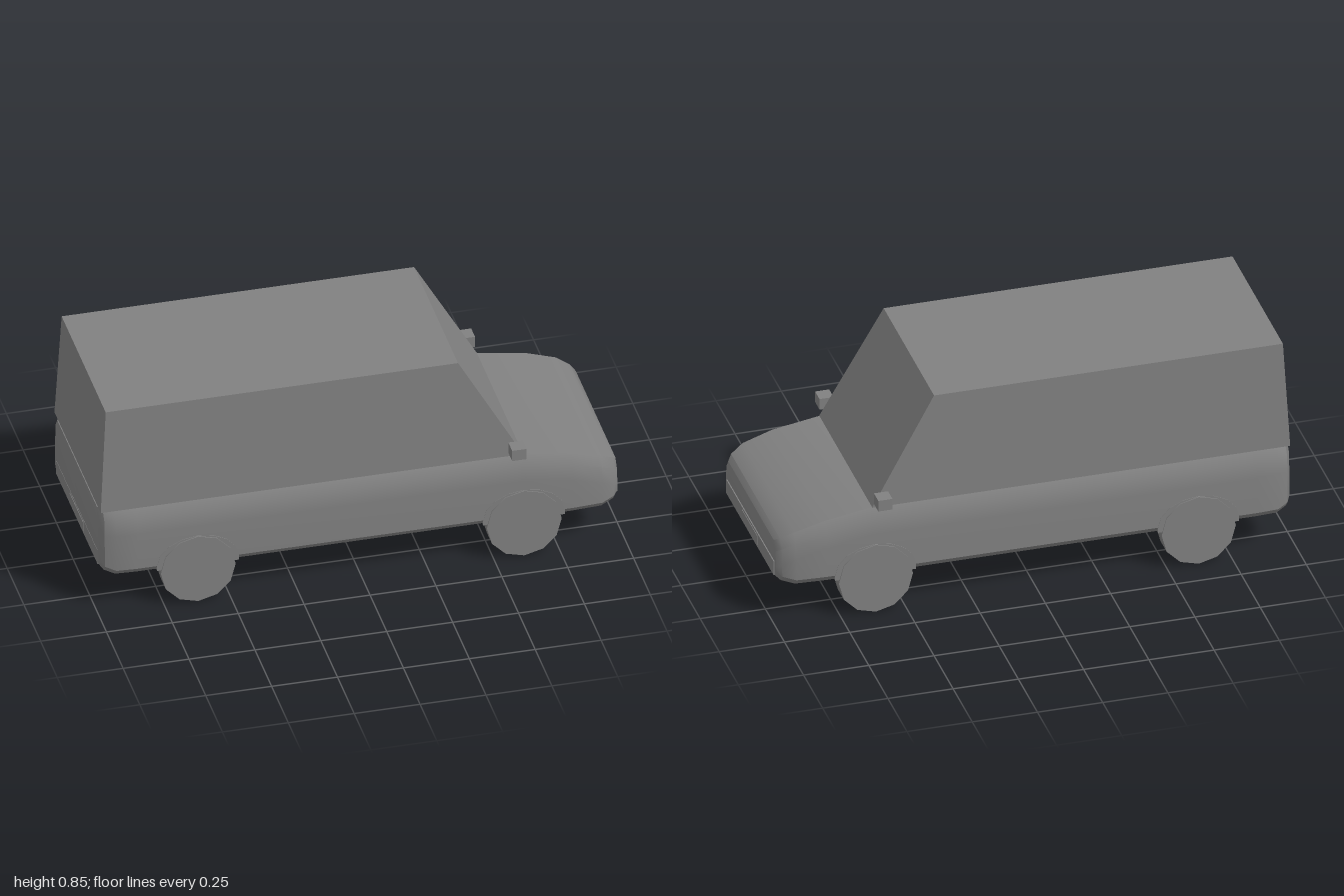
import * as THREE from 'three';
import { toCreasedNormals } from 'three/addons/utils/BufferGeometryUtils.js';

const paint = new THREE.MeshStandardMaterial({ color: 0x808080 });
paint.name = 'grey';

// Skins a row of equal-length rings; each ring climbs the +z side and descends the -z side.
function loft(rings, crease) {
  const n = rings[0].length, index = [];
  for (let i = 0; i < rings.length - 1; i++) {
    for (let j = 0; j < n; j++) {
      const k = (j + 1) % n, a = i * n + j, b = i * n + k;
      index.push(a, a + n, b, b, a + n, b + n);
    }
  }
  const last = (rings.length - 1) * n;
  for (let j = 1; j < n - 1; j++) index.push(0, j, j + 1, last, last + j + 1, last + j);
  const g = new THREE.BufferGeometry();
  g.setAttribute('position', new THREE.Float32BufferAttribute(rings.flat(2), 3));
  g.setIndex(index);
  return toCreasedNormals(g, crease);
}

export function createModel() {
  const van = new THREE.Group();
  van.name = 'van';
  const add = (name, geometry, x = 0, y = 0, z = 0) => {
    const mesh = new THREE.Mesh(geometry, paint);
    mesh.name = name;
    mesh.position.set(x, y, z);
    van.add(mesh);
    return mesh;
  };

  // Lower body: x, half width, bottom, top
  const stations = [
    [-0.985, 0.33, 0.18, 0.42], [-0.97, 0.357, 0.165, 0.422], [-0.93, 0.373, 0.15, 0.425],
    [-0.85, 0.378, 0.15, 0.425], [0.62, 0.378, 0.15, 0.425], [0.8, 0.378, 0.15, 0.396],
    [0.915, 0.371, 0.15, 0.362], [0.965, 0.352, 0.163, 0.335], [0.982, 0.33, 0.175, 0.318],
  ];
  add('lowerBody', loft(stations.map(([x, w, b, t]) => {
    const half = [[w - 0.022, b], [w, b + 0.026], [w - 0.002, t - 0.1], [w - 0.008, t - 0.035], [w - 0.033, t]];
    return [
      ...half.map(([z, y]) => [x, y, z]),
      ...half.reverse().map(([z, y]) => [x, y, -z]),
    ];
  }), 0.62));

  // Tall cabin with sloping windscreen
  const cabinEnd = (xb, xt) => [[xb, 0.423, 0.347], [xt, 0.853, 0.33], [xt, 0.853, -0.33], [xb, 0.423, -0.347]];
  add('cabin', loft([cabinEnd(-0.983, -0.96), cabinEnd(0.62, 0.377)], 0.1));

  // Bumpers and number plates
  for (const [end, s] of [['front', 1], ['rear', -1]]) {
    add(end + 'Bumper', new THREE.BoxGeometry(0.006, 0.058, 0.62), s * 0.983, 0.205, 0);
    add(end + 'Plate', new THREE.BoxGeometry(0.004, 0.04, 0.2), s * 0.986, 0.205, 0);
  }

  // Wheel arch outline, stepped at its feet
  const arch = new THREE.Shape();
  arch.moveTo(-0.125, -0.01);
  arch.lineTo(0.125, -0.01);
  arch.lineTo(0.135, 0.01);
  arch.lineTo(0.155, 0.01);
  arch.lineTo(0.155, 0.03);
  for (let i = 1; i < 8; i++) {
    const a = i * Math.PI / 8;
    arch.lineTo(0.155 * Math.cos(a), 0.03 + 0.11 * Math.sin(a));
  }
  arch.lineTo(-0.155, 0.03);
  arch.lineTo(-0.155, 0.01);
  arch.lineTo(-0.135, 0.01);
  const archGeo = new THREE.ExtrudeGeometry(arch, { depth: 0.069, bevelEnabled: false });

  const wheelGeo = toCreasedNormals(
    new THREE.CylinderGeometry(0.142, 0.142, 0.082, 12).rotateX(Math.PI / 2), 0.7);

  for (const s of [1, -1]) {
    for (const x of [-0.622, 0.615]) {
      add('wheel', wheelGeo, x, 0.142, s * 0.342);
      add('wheelArch', archGeo, x, 0.145, s > 0 ? 0.31 : -0.379);
    }
    // Door mirrors
    add('mirror', new THREE.BoxGeometry(0.054, 0.045, 0.058), 0.588, 0.467, s * 0.385);
  }
  return van;
}
